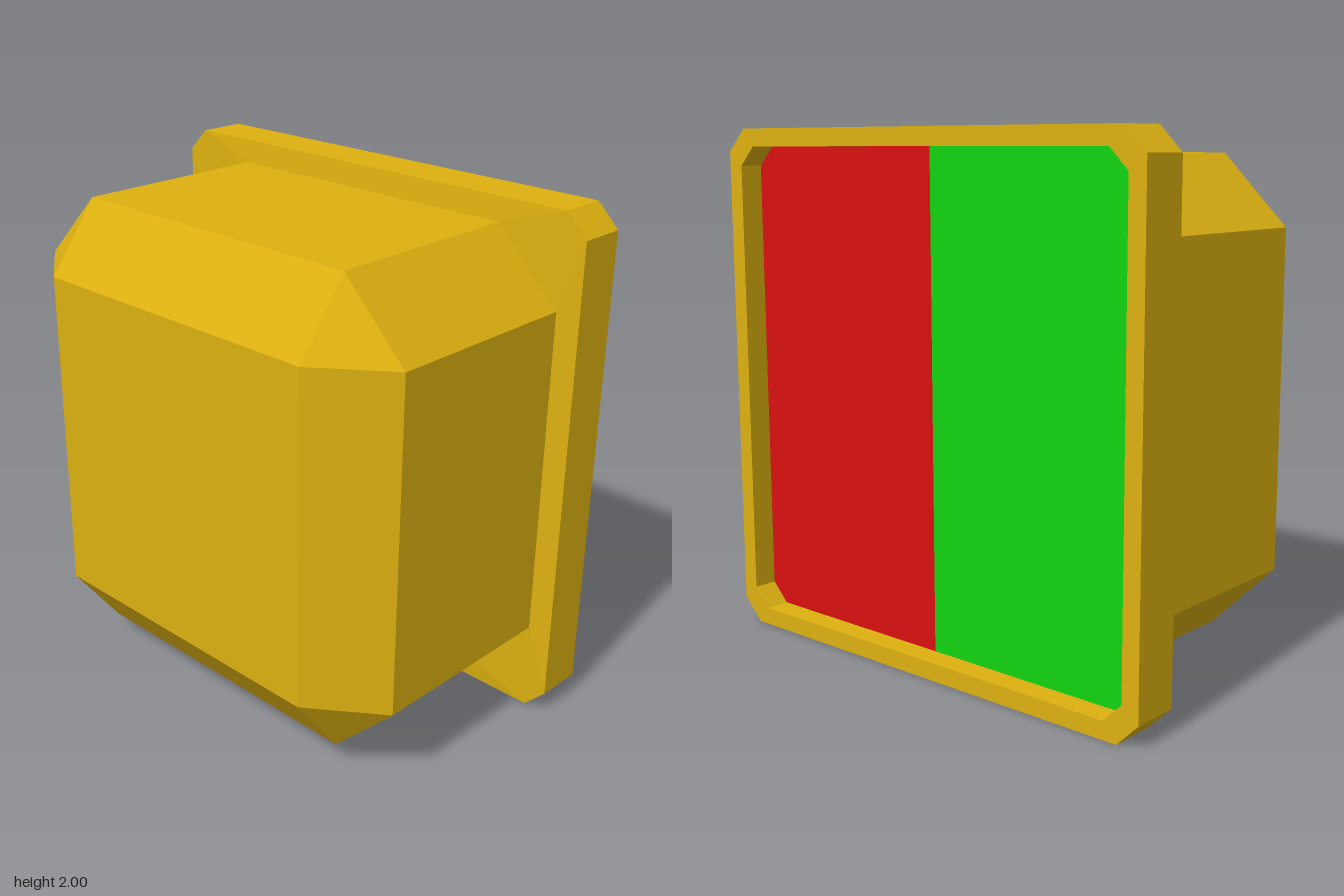
import * as THREE from 'three';

// Square outline of half-width h with corners cut by c, counter-clockwise seen from +z
function outline(h, c, z) {
  const k = h - c;
  return [[h, -k], [h, k], [k, h], [-k, h], [-h, k], [-h, -k], [-k, -h], [k, -h]]
    .map(([x, y]) => new THREE.Vector3(x, y, z));
}

// Skin a series of outlines, listed from front to back
function loft(loops) {
  const points = [];
  for (let i = 0; i < loops.length - 1; i++) {
    const a = loops[i], b = loops[i + 1], n = a.length;
    for (let j = 0; j < n; j++) {
      const k = (j + 1) % n;
      for (const tri of [[a[j], b[j], b[k]], [a[j], b[k], a[k]]]) {
        if (new THREE.Triangle(...tri).getArea() > 1e-6) points.push(...tri);
      }
    }
  }
  const geometry = new THREE.BufferGeometry().setFromPoints(points);
  geometry.computeVertexNormals();
  return geometry;
}

export function createModel() {
  const group = new THREE.Group();
  const material = (color) => new THREE.MeshStandardMaterial({ color, flatShading: true });
  const gold = material(0xdcb010);
  const add = (name, geometry, mat) => {
    const mesh = new THREE.Mesh(geometry, mat);
    mesh.name = name;
    mesh.position.y = 1;
    group.add(mesh);
  };

  // Chamfered housing and its front face
  const bodyHalf = 0.91, bodyCut = 0.267, faceHalf = bodyHalf - bodyCut;
  add('housing', loft([
    outline(faceHalf, 0, 0.6),
    outline(bodyHalf, bodyCut, 0.4),
    outline(bodyHalf, bodyCut, -0.4),
  ]), gold);
  add('frontFace', new THREE.PlaneGeometry(2 * faceHalf, 2 * faceHalf).translate(0, 0, 0.6), gold);

  // Flange: sloped shoulder, outer wall, back rim and recess wall
  const innerHalf = 0.932, innerCut = 0.075, panelZ = -0.505;
  add('flange', loft([
    outline(bodyHalf, bodyCut, -0.4),
    outline(1, 0.088, -0.41),
    outline(1, 0.088, -0.6),
    outline(innerHalf, innerCut, -0.6),
    outline(innerHalf, innerCut, panelZ),
  ]), gold);

  // Two half panels closing the recess, facing back
  const k = innerHalf - innerCut;
  const half = new THREE.Shape([[0, -innerHalf], [k, -innerHalf], [innerHalf, -k],
    [innerHalf, k], [k, innerHalf], [0, innerHalf]].map(([x, y]) => new THREE.Vector2(x, y)));
  for (const [name, color, turn] of [['greenPanel', 0x12d412, 0], ['redPanel', 0xd81010, Math.PI]]) {
    const geometry = new THREE.ShapeGeometry(half).rotateZ(turn).rotateY(Math.PI).translate(0, 0, panelZ);
    add(name, geometry, material(color));
  }
  return group;
}
